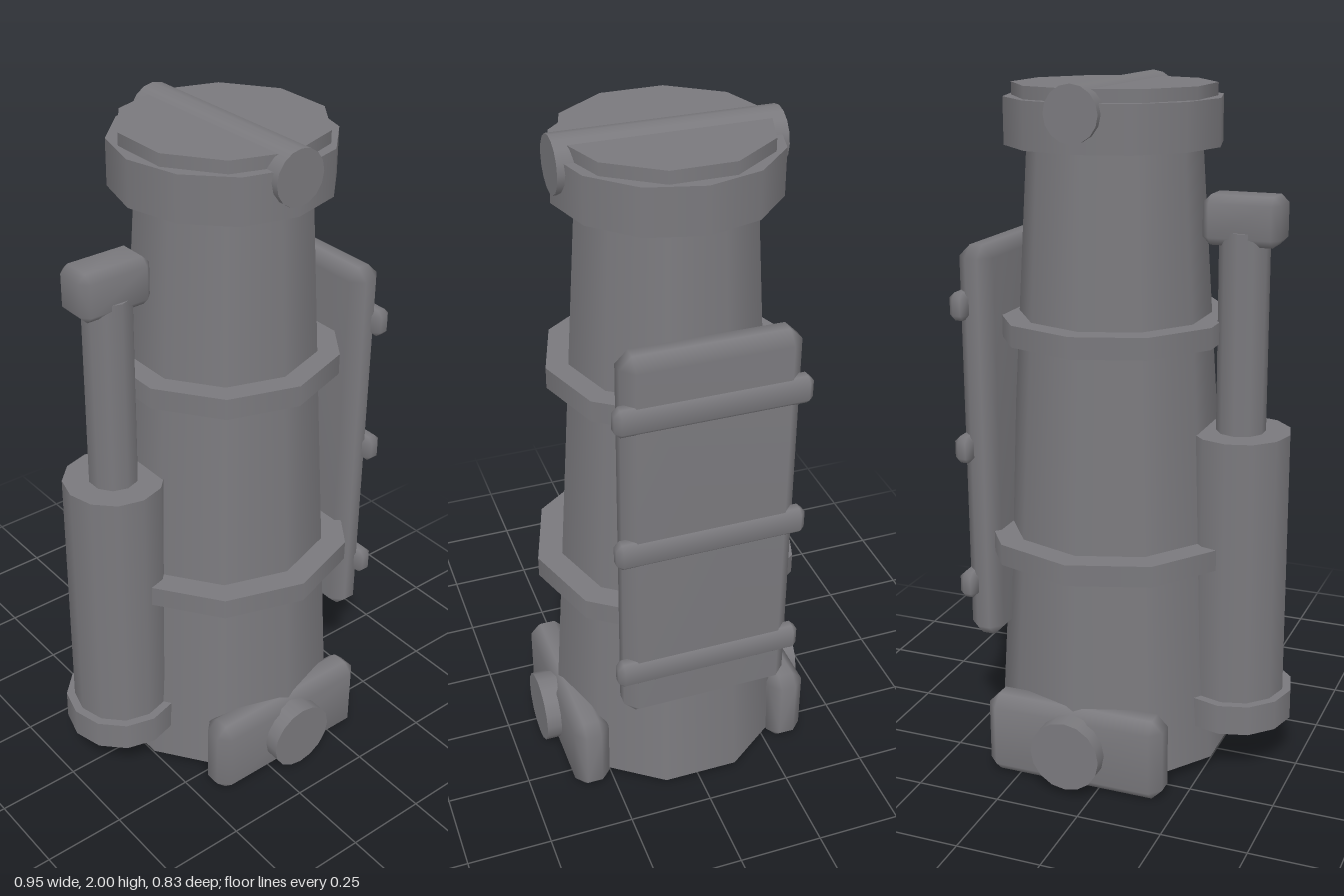
import * as THREE from 'three';
import { ConvexGeometry } from 'three/addons/geometries/ConvexGeometry.js';
import { mergeVertices } from 'three/addons/utils/BufferGeometryUtils.js';

const material = new THREE.MeshStandardMaterial({ color: 0x7a797d });
const AXIS_X = 0.076; // centre line of the tapered body
const PISTON_X = -0.306; // centre line of the side piston

// Box with a single chamfer on every edge, shaded softly across the chamfers
function chamferBox(w, h, d, c) {
  const points = [];
  for (const sx of [-1, 1]) for (const sy of [-1, 1]) for (const sz of [-1, 1]) {
    const x = w / 2, y = h / 2, z = d / 2;
    points.push(
      new THREE.Vector3(sx * x, sy * (y - c), sz * (z - c)),
      new THREE.Vector3(sx * (x - c), sy * y, sz * (z - c)),
      new THREE.Vector3(sx * (x - c), sy * (y - c), sz * z)
    );
  }
  const faceted = new ConvexGeometry(points);
  faceted.deleteAttribute('normal');
  const smooth = mergeVertices(faceted);
  smooth.computeVertexNormals();
  return smooth;
}

export function createModel() {
  const model = new THREE.Group();
  model.name = 'taperedCanister';

  const add = (name, geometry, x, y, z) => {
    const mesh = new THREE.Mesh(geometry, material);
    mesh.name = name;
    mesh.position.set(x, y, z);
    model.add(mesh);
    return mesh;
  };
  // Upright drum between two heights
  const drum = (name, x, y0, y1, rBottom, rTop, sides) =>
    add(name, new THREE.CylinderGeometry(rTop, rBottom, y1 - y0, sides), x, (y0 + y1) / 2, 0);
  // Round bar running front to back through the body
  const crossBar = (name, y, radius, length) => {
    add(name, new THREE.CylinderGeometry(radius, radius, length, 16), AXIS_X, y, 0).rotation.x = Math.PI / 2;
  };

  // Tapered body with its bands, collar and lid
  drum('body', AXIS_X, 0.035, 1.9, 0.36, 0.241, 10);
  drum('lowerBand', AXIS_X, 0.648, 0.71, 0.39, 0.39, 10);
  drum('upperBand', AXIS_X, 1.283, 1.345, 0.34, 0.34, 10);
  drum('collar', AXIS_X, 1.82, 1.95, 0.307, 0.307, 12);
  drum('lid', AXIS_X, 1.9, 1.985, 0.285, 0.285, 10);

  // Bars through the lid and the foot of the body
  crossBar('lidBar', 1.923, 0.077, 0.614);
  crossBar('baseAxle', 0.127, 0.105, 0.83);

  // Feet, front and back
  for (const side of [1, -1]) {
    add(side > 0 ? 'frontFoot' : 'backFoot', chamferBox(0.543, 0.247, 0.11, 0.032), AXIS_X, 0.1235, side * 0.315);
  }

  // Piston on the right
  drum('pistonFlange', PISTON_X, 0.15, 0.24, 0.17, 0.17, 12);
  drum('pistonCylinder', PISTON_X, 0.2, 1.03, 0.145, 0.145, 12);
  drum('pistonRod', PISTON_X, 1.0, 1.6, 0.071, 0.071, 10);
  add('pistonHead', chamferBox(0.22, 0.137, 0.125, 0.022), -0.307, 1.63, 0);

  // Ribbed panel on the left
  add('sidePanel', chamferBox(0.105, 1.18, 0.49, 0.034), 0.408, 0.96, 0);
  for (const y of [0.54, 0.96, 1.38]) {
    add('panelRib', chamferBox(0.055, 0.08, 0.54, 0.016), 0.446, y, 0);
  }

  return model;
}
